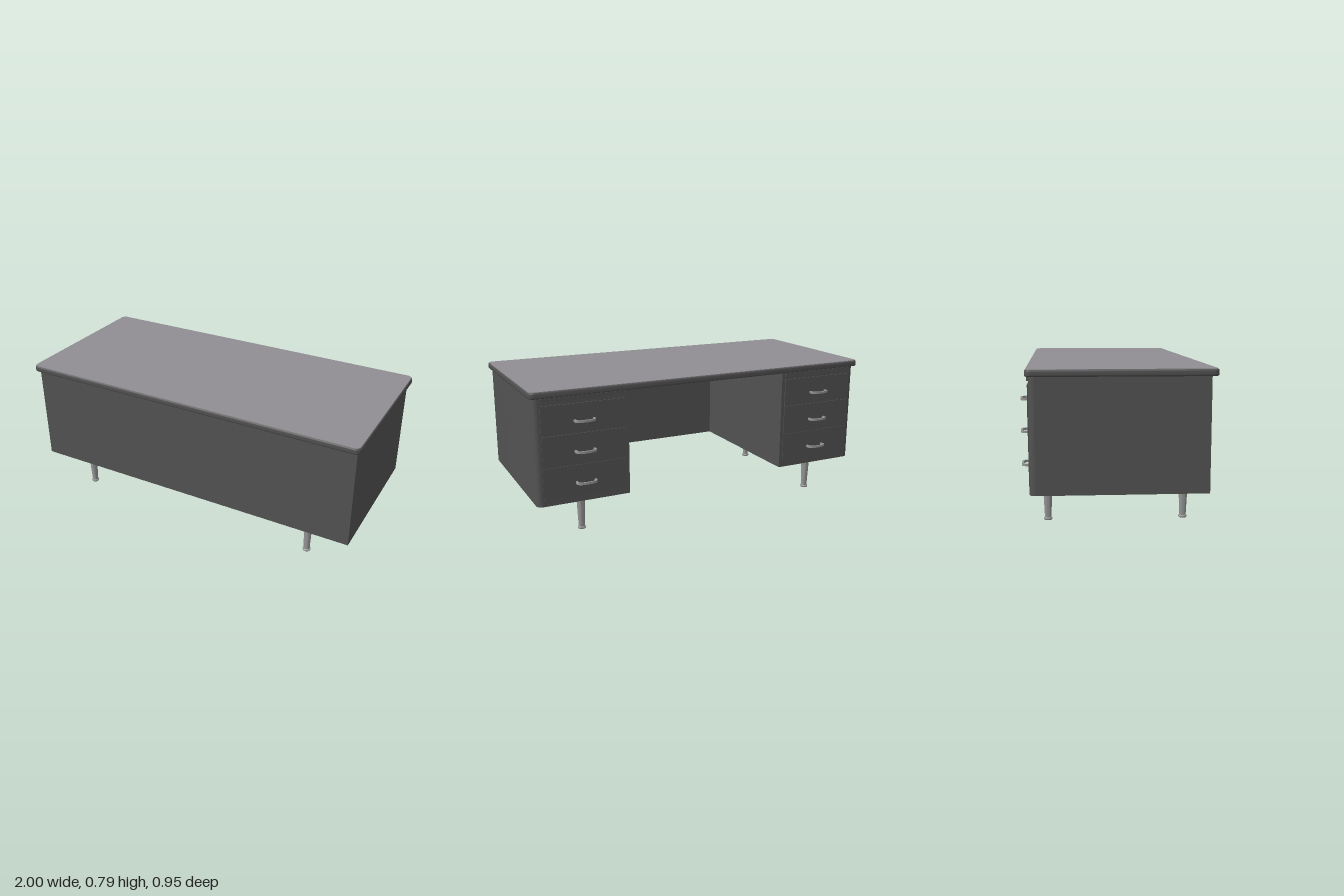
import * as THREE from 'three';
import { toCreasedNormals } from 'three/addons/utils/BufferGeometryUtils.js';

const material = (name, color) => {
  const m = new THREE.MeshStandardMaterial({ color });
  m.name = name;
  return m;
};

// Rounded rectangle in plan; shape y is -z
function roundedPlan(x, z0, z1, r) {
  const s = new THREE.Shape();
  const a = -z1, b = -z0;
  s.moveTo(-x + r, a);
  s.lineTo(x - r, a);
  s.absarc(x - r, a + r, r, -Math.PI / 2, 0);
  s.lineTo(x, b - r);
  s.absarc(x - r, b - r, r, 0, Math.PI / 2);
  s.lineTo(-x + r, b);
  s.absarc(-x + r, b - r, r, Math.PI / 2, Math.PI);
  s.lineTo(-x, a + r);
  s.absarc(-x + r, a + r, r, Math.PI, Math.PI * 1.5);
  return s;
}

// Extrudes a plan shape upwards from y0 to y1
function raise(shape, y0, y1, bevel = 0) {
  const g = new THREE.ExtrudeGeometry(shape, {
    depth: y1 - y0 - 2 * bevel, curveSegments: 8,
    bevelEnabled: bevel > 0, bevelSize: bevel, bevelThickness: bevel,
    bevelOffset: -bevel, bevelSegments: 4,
  });
  g.rotateX(-Math.PI / 2).translate(0, y0 + bevel, 0);
  return toCreasedNormals(g, 0.6);
}

export function createModel() {
  const steel = material('dark grey steel', 0x525252);
  const laminate = material('grey desktop', 0x918e93);
  const metal = material('brushed metal', 0x949496);

  const desk = new THREE.Group();
  desk.name = 'desk';
  const add = (name, geometry, mat, x = 0, y = 0, z = 0, parent = desk) => {
    const mesh = new THREE.Mesh(geometry, mat);
    mesh.name = name;
    mesh.position.set(x, y, z);
    parent.add(mesh);
    return mesh;
  };

  // Body: two pedestals joined by the modesty panel, a U in plan
  const X = 0.98, inner = 0.475, back = 0.425, front = -0.44, r = 0.03;
  const plan = new THREE.Shape();
  plan.moveTo(-X, front);
  plan.lineTo(X, front);
  plan.lineTo(X, back - r);
  plan.absarc(X - r, back - r, r, 0, Math.PI / 2);
  plan.lineTo(inner, back);
  plan.lineTo(inner, front + 0.015);
  plan.lineTo(-inner, front + 0.015);
  plan.lineTo(-inner, back);
  plan.lineTo(-X + r, back);
  plan.absarc(-X + r, back - r, r, Math.PI / 2, Math.PI);
  plan.closePath();
  add('body', raise(plan, 0.187, 0.755), steel);

  // Desktop slab with rounded rim and lighter writing surface
  add('desktopRim', raise(roundedPlan(1, -0.442, 0.474, 0.03), 0.753, 0.787, 0.009), steel);
  add('writingSurface', raise(roundedPlan(0.995, -0.437, 0.469, 0.027), 0.785, 0.789), laminate);

  // Flat bow pull, curving away from the drawer
  const bow = new THREE.Shape();
  bow.moveTo(-0.056, 0);
  bow.lineTo(-0.056, 0.018);
  bow.quadraticCurveTo(-0.053, 0.036, -0.032, 0.04);
  bow.quadraticCurveTo(0, 0.045, 0.032, 0.04);
  bow.quadraticCurveTo(0.053, 0.036, 0.056, 0.018);
  bow.lineTo(0.056, 0);
  bow.lineTo(0.046, 0);
  bow.lineTo(0.046, 0.016);
  bow.quadraticCurveTo(0.044, 0.028, 0.029, 0.031);
  bow.quadraticCurveTo(0, 0.035, -0.029, 0.031);
  bow.quadraticCurveTo(-0.044, 0.028, -0.046, 0.016);
  bow.lineTo(-0.046, 0);
  bow.closePath();
  const pull = raise(bow, -0.006, 0.006);

  // Tapered leg with a foot ring
  const legProfile = [
    [0, 0], [0.019, 0], [0.022, 0.004], [0.022, 0.009], [0.019, 0.013],
    [0.0165, 0.014], [0.022, 0.135], [0.023, 0.184], [0, 0.184],
  ].map(([x, y]) => new THREE.Vector2(x, y));
  const leg = toCreasedNormals(new THREE.LatheGeometry(legProfile, 24), 0.6);
  const plate = new THREE.BoxGeometry(0.094, 0.005, 0.094);

  // Drawer stack: bottom, top and face depth of each
  const drawers = [[0.56, 0.713, -0.431], [0.393, 0.555, -0.43], [0.225, 0.388, -0.428]];

  for (const side of [-1, 1]) {
    const pedestal = new THREE.Group();
    pedestal.name = side > 0 ? 'leftPedestalFittings' : 'rightPedestalFittings';
    desk.add(pedestal);
    const cx = side * 0.72;

    drawers.forEach(([y0, y1, z]) => {
      const face = new THREE.BoxGeometry(0.45, y1 - y0, 0.012);
      add('drawerFront', face, steel, cx, (y0 + y1) / 2, z + 0.006, pedestal);
      add('drawerPull', pull, metal, cx, (y0 + y1) / 2 - 0.012, z, pedestal);
    });

    // Pull-out writing shelf above the drawers
    add('slideShelf', new THREE.BoxGeometry(0.45, 0.022, 0.03), steel, cx, 0.741, -0.418, pedestal);

    for (const z of [0.352, -0.342]) {
      add('leg', leg, metal, side * 0.724, 0, z, pedestal);
      add('legPlate', plate, steel, side * 0.724, 0.1855, z, pedestal);
    }
  }
  return desk;
}
